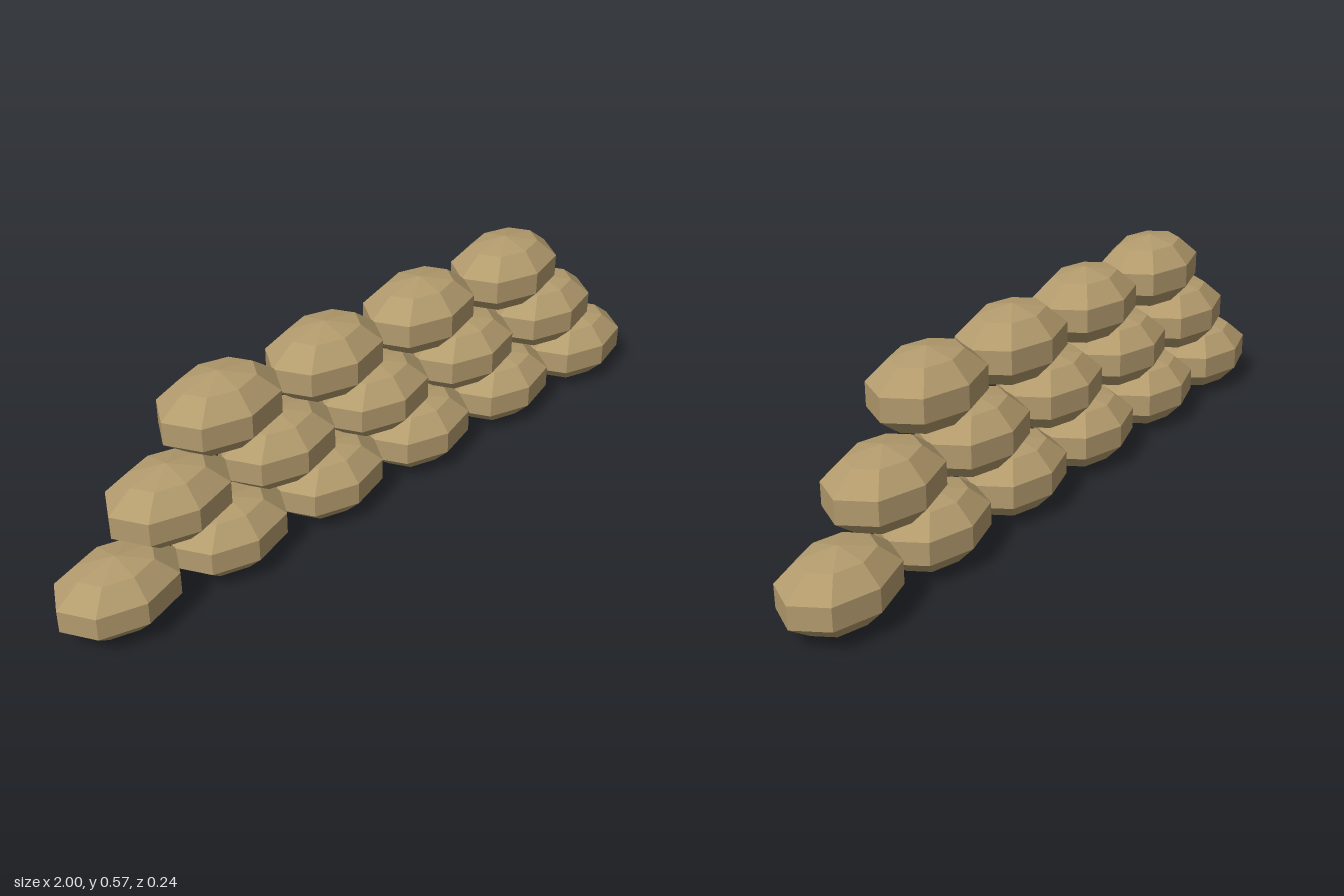
import * as THREE from 'three';

export function createModel() {
  const model = new THREE.Group();
  model.name = 'sandbagWall';

  const burlap = new THREE.MeshStandardMaterial({ color: 0xb39b6d, flatShading: true });
  burlap.name = 'burlap';

  // One squashed low-poly bag, shared by every row
  const bag = new THREE.SphereGeometry(1, 8, 5).scale(0.178, 0.1005, 0.1285);

  const spacing = 0.3323;
  const rows = [6, 5, 4];

  // Each row has one bag fewer and sits over the joints of the row below
  rows.forEach((count, level) => {
    const row = new THREE.Group();
    row.name = `bagRow${level + 1}`;
    row.position.y = 0.102 + level * 0.1835;
    for (let i = 0; i < count; i++) {
      const mesh = new THREE.Mesh(bag, burlap);
      mesh.name = `sandbag${i + 1}`;
      mesh.position.x = (i - (count - 1) / 2) * spacing;
      row.add(mesh);
    }
    model.add(row);
  });

  return model;
}
